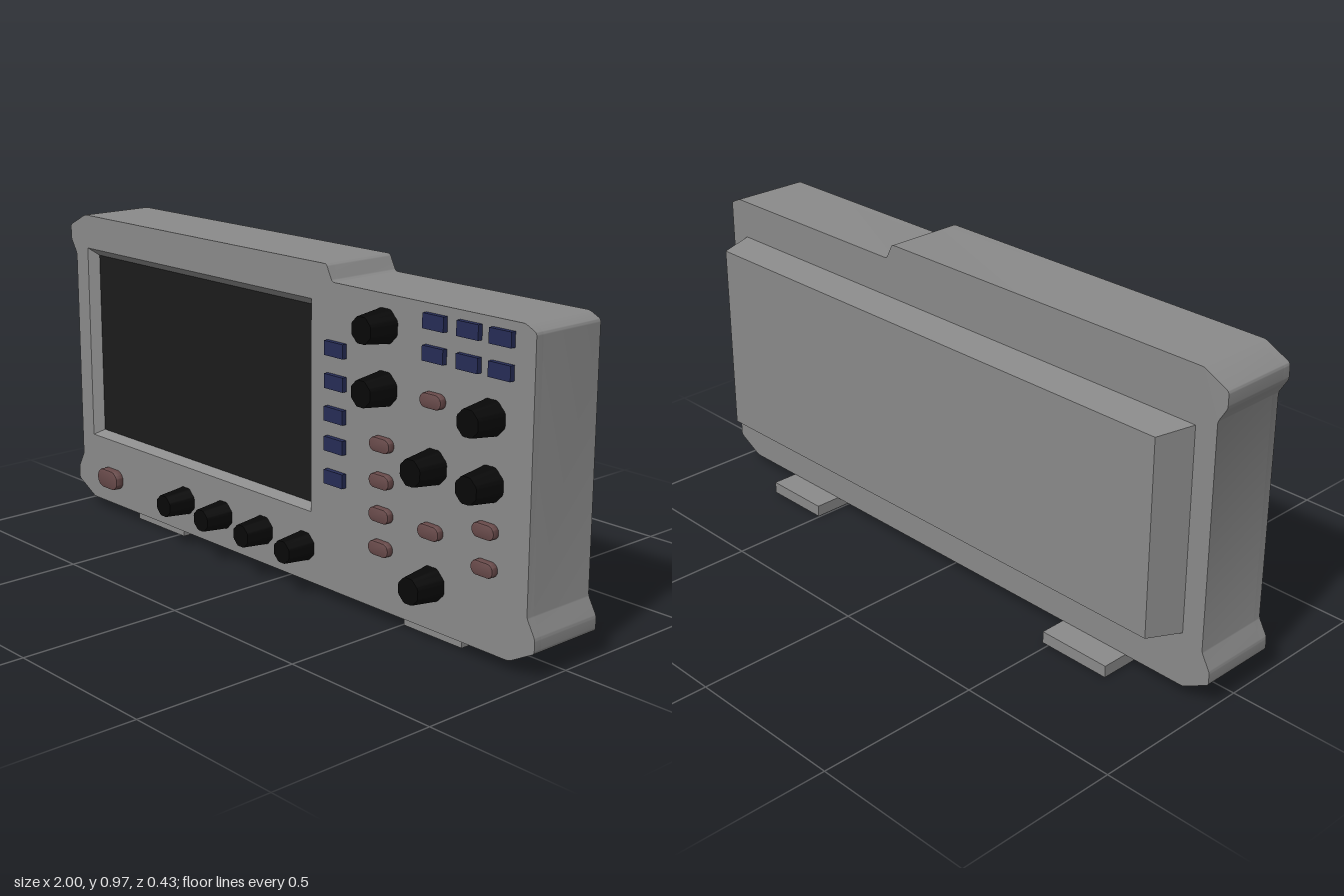
import * as THREE from 'three';
import { toCreasedNormals } from 'three/addons/utils/BufferGeometryUtils.js';

const FRONT = 0.127, BACK = -0.114, RECESS = 0.025;

const mat = (color) => new THREE.MeshStandardMaterial({ color });
const grey = mat(0x8a8a8a);
const dark = mat(0x1b1b1b);
const black = mat(0x080808);
const blue = mat(0x262c56);
const pink = mat(0x684a4a);

// Closed outline whose corners are softened by a small radius
function softOutline(points, r) {
  const pts = points.map(([x, y]) => new THREE.Vector2(x, y));
  const n = pts.length;
  const shape = new THREE.Shape();
  pts.forEach((p, i) => {
    const toward = (q) => p.clone().add(q.clone().sub(p).setLength(Math.min(r, p.distanceTo(q) * 0.4)));
    const a = toward(pts[(i + n - 1) % n]);
    const b = toward(pts[(i + 1) % n]);
    if (i === 0) shape.moveTo(a.x, a.y);
    else shape.lineTo(a.x, a.y);
    shape.quadraticCurveTo(p.x, p.y, b.x, b.y);
  });
  shape.closePath();
  return shape;
}

// Rectangle corners, counter-clockwise as seen from the front
const rect = (x0, y0, x1, y1, z) => [[x0, y0, z], [x1, y0, z], [x1, y1, z], [x0, y1, z]];

// Four sloping walls from rectangle a to rectangle b, with an optional cap on b
function slopedWalls(a, b, { outward = false, cap = false } = {}) {
  const pos = [];
  const quad = (p, q, r, s) => {
    const tris = outward ? [p, r, q, p, s, r] : [p, q, r, p, r, s];
    tris.forEach((v) => pos.push(...v));
  };
  for (let i = 0; i < 4; i++) {
    const j = (i + 1) % 4;
    quad(a[i], a[j], b[j], b[i]);
  }
  if (cap) quad(...b);
  const g = new THREE.BufferGeometry();
  g.setAttribute('position', new THREE.Float32BufferAttribute(pos, 3));
  g.computeVertexNormals();
  return g;
}

// Tapered knob with eight shallow flutes, pointing to +z
function knobGeometry(baseR, tipR, length) {
  const g = new THREE.CylinderGeometry(tipR, baseR, length, 48, 1);
  const p = g.attributes.position;
  for (let i = 0; i < p.count; i++) {
    const angle = Math.atan2(p.getZ(i), p.getX(i));
    const k = 0.98 - 0.03 * Math.cos(8 * angle);
    p.setX(i, p.getX(i) * k);
    p.setZ(i, p.getZ(i) * k);
  }
  g.rotateX(Math.PI / 2).translate(0, 0, length / 2);
  return toCreasedNormals(g, 0.6);
}

// Pill-shaped button with a softened front edge
function pillGeometry(w, h, depth) {
  const bevel = 0.004;
  const r = h / 2 - bevel, s = w / 2 - h / 2;
  const shape = new THREE.Shape();
  shape.absarc(s, 0, r, -Math.PI / 2, Math.PI / 2);
  shape.absarc(-s, 0, r, Math.PI / 2, Math.PI * 1.5);
  const g = new THREE.ExtrudeGeometry(shape, {
    depth: depth - bevel, bevelSize: bevel, bevelThickness: bevel, bevelSegments: 2, curveSegments: 10,
  });
  return toCreasedNormals(g, 0.7);
}

export function createModel() {
  const model = new THREE.Group();
  model.name = 'benchInstrument';
  const add = (name, geometry, material, x = 0, y = 0, z = 0, parent = model) => {
    const mesh = new THREE.Mesh(geometry, material);
    mesh.name = name;
    mesh.position.set(x, y, z);
    parent.add(mesh);
  };
  const addAll = (name, geometry, material, spots) => {
    const group = new THREE.Group();
    group.name = name + 's';
    spots.forEach(([x, y]) => add(name, geometry, material, x, y, FRONT, group));
    model.add(group);
  };

  // Case: solid rear part and a front panel with the screen opening
  const outline = [
    [-0.915, 0.035], [0.915, 0.035], [1, 0.08], [1, 0.12], [0.972, 0.17], [0.972, 0.905],
    [0.935, 0.923], [0.242, 0.923], [0.218, 0.97], [-0.92, 0.97], [-1, 0.93], [-1, 0.885],
    [-0.972, 0.84], [-0.972, 0.17], [-1, 0.12], [-1, 0.08],
  ];
  const extrude = (shape, depth) =>
    toCreasedNormals(new THREE.ExtrudeGeometry(shape, { depth, bevelEnabled: false, curveSegments: 4 }), 0.6);
  add('case', extrude(softOutline(outline, 0.008), FRONT - RECESS - BACK), grey, 0, 0, BACK);

  const panel = softOutline(outline, 0.008);
  const opening = rect(-0.91, 0.248, 0.157, 0.865, FRONT);
  panel.holes.push(new THREE.Path(opening.map(([x, y]) => new THREE.Vector2(x, y)).reverse()));
  add('frontPanel', extrude(panel, RECESS), grey, 0, 0, FRONT - RECESS);

  // Screen with its sloping surround
  const screenZ = FRONT - RECESS + 0.002;
  add('screenSurround', slopedWalls(opening, rect(-0.879, 0.267, 0.138, 0.843, screenZ)), grey);
  add('screen', new THREE.PlaneGeometry(1.017, 0.576), dark, -0.3705, 0.555, screenZ);

  // Tapered rear housing
  add('rearHousing', slopedWalls(
    rect(-0.905, 0.198, 0.905, 0.807, BACK),
    rect(-0.862, 0.206, 0.882, 0.793, -0.215),
    { outward: true, cap: true },
  ), grey);

  // Feet
  [[-0.713, -0.479], [0.504, 0.721]].forEach(([x0, x1]) =>
    add('foot', new THREE.BoxGeometry(x1 - x0, 0.036, 0.29), grey, (x0 + x1) / 2, 0.018, -0.05));

  // Knobs
  addAll('controlKnob', knobGeometry(0.049, 0.038, 0.088), black, [
    [0.449, 0.837], [0.449, 0.666], [0.636, 0.492], [0.833, 0.666], [0.833, 0.492], [0.636, 0.167],
  ]);
  addAll('lowerKnob', knobGeometry(0.043, 0.034, 0.088), black,
    [-0.423, -0.24, -0.053, 0.129].map((x) => [x, 0.14]));

  // Square buttons: a column beside the screen and a block at the upper corner
  const square = [0.741, 0.648, 0.555, 0.469, 0.373].map((y) => [0.263, y]);
  for (const x of [0.637, 0.757, 0.867]) for (const y of [0.878, 0.793]) square.push([x, y]);
  addAll('squareButton', new THREE.BoxGeometry(0.075, 0.041, 0.03), blue, square);

  // Oval buttons and the larger power button
  addAll('ovalButton', pillGeometry(0.078, 0.041, 0.02), pink, [
    [0.636, 0.671], [0.636, 0.314], [0.83, 0.368], [0.83, 0.266],
    [0.449, 0.512], [0.449, 0.41], [0.449, 0.314], [0.449, 0.218],
  ]);
  add('powerButton', pillGeometry(0.106, 0.062, 0.026), pink, -0.807, 0.122, FRONT);

  return model;
}
